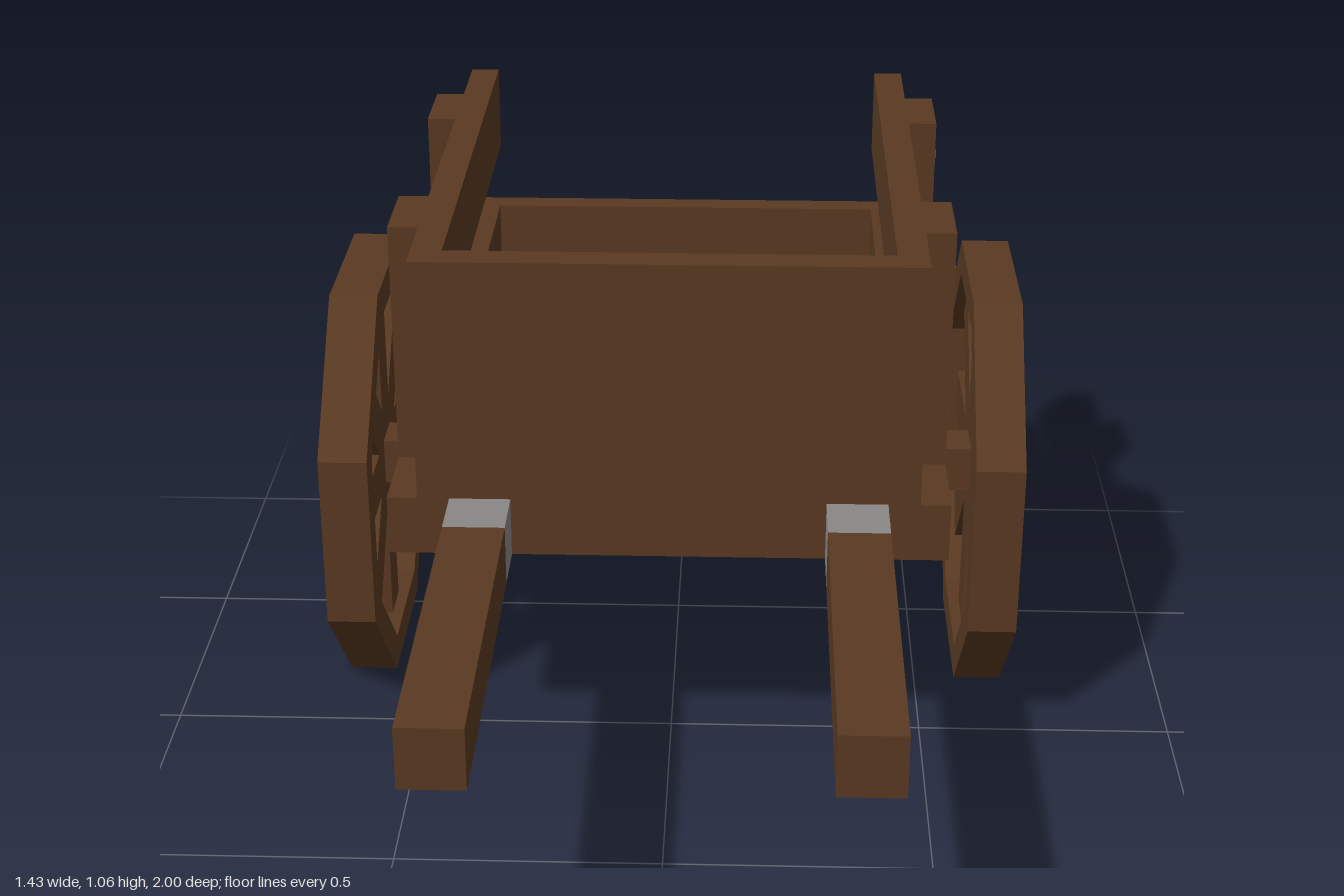
import * as THREE from 'three';

const wood = new THREE.MeshStandardMaterial({ color: 0x5a3a22 });
wood.name = 'wood';
const metal = new THREE.MeshStandardMaterial({ color: 0x8a8885 });
metal.name = 'metal';

// Box given by its min and max along each axis
function box(parent, name, [x0, x1], [y0, y1], [z0, z1], material = wood) {
  const mesh = new THREE.Mesh(new THREE.BoxGeometry(x1 - x0, y1 - y0, z1 - z0), material);
  mesh.position.set((x0 + x1) / 2, (y0 + y1) / 2, (z0 + z1) / 2);
  mesh.name = name;
  parent.add(mesh);
  return mesh;
}

// Octagon outline with flat sides on the axes
function octagon(PathType, apothem) {
  const r = apothem / Math.cos(Math.PI / 8);
  const points = [];
  for (let i = 0; i < 8; i++) {
    const a = Math.PI / 8 + (i * Math.PI) / 4;
    points.push(new THREE.Vector2(r * Math.cos(a), r * Math.sin(a)));
  }
  return new PathType(points);
}

function createWheel() {
  const wheel = new THREE.Group();
  wheel.name = 'wheel';
  const width = 0.095, apothem = 0.42, inner = 0.357;

  // Octagonal rim, turned so its axis runs along x
  const shape = octagon(THREE.Shape, apothem);
  shape.holes.push(octagon(THREE.Path, inner));
  const geometry = new THREE.ExtrudeGeometry(shape, { depth: width, bevelEnabled: false });
  geometry.translate(0, 0, -width / 2);
  geometry.rotateY(Math.PI / 2);
  const rim = new THREE.Mesh(geometry, wood);
  rim.name = 'rim';
  wheel.add(rim);

  // Four crossing bars make eight spokes
  for (let i = 0; i < 4; i++) {
    const spoke = new THREE.Mesh(new THREE.BoxGeometry(0.05, inner * 2, 0.095), wood);
    spoke.rotation.x = (i * Math.PI) / 4;
    spoke.name = 'spoke';
    wheel.add(spoke);
  }
  return wheel;
}

export function createModel() {
  const cart = new THREE.Group();
  cart.name = 'handcart';

  // Bed with end boards
  box(cart, 'floor', [-0.527, 0.527], [0.477, 0.592], [-1, 0.177]);
  box(cart, 'frontBoard', [-0.47, 0.47], [0.592, 1.063], [0.117, 0.177]);
  box(cart, 'backBoard', [-0.412, 0.412], [0.592, 0.767], [-1, -0.947]);

  // Axle
  box(cart, 'axle', [-0.717, 0.717], [0.376, 0.47], [-0.427, -0.333]);

  for (const side of [-1, 1]) {
    const span = (a, b) => (side > 0 ? [a, b] : [-b, -a]);

    // Side rails
    box(cart, 'lowerRail', span(0.412, 0.47), [0.592, 0.767], [-1, 0.117]);
    box(cart, 'upperRail', span(0.412, 0.47), [0.89, 1.063], [-1, 0.117]);

    // Posts, each with two bolt heads
    for (const z of [-0.086, -0.734]) {
      box(cart, 'post', span(0.47, 0.527), [0.592, 1.063], [z - 0.086, z + 0.086]);
      for (const y of [0.975, 0.682]) {
        const boltGeometry = new THREE.CylinderGeometry(0.031, 0.031, 0.008, 8);
        boltGeometry.rotateY(Math.PI / 8);
        boltGeometry.rotateZ(Math.PI / 2);
        const bolt = new THREE.Mesh(boltGeometry, metal);
        bolt.position.set(side * 0.528, y, z);
        bolt.name = 'bolt';
        cart.add(bolt);
      }
    }

    // Pull shafts with metal sleeves
    box(cart, 'sleeve', span(0.295, 0.41), [0.477, 0.592], [0.177, 0.295], metal);
    box(cart, 'shaft', span(0.295, 0.41), [0.477, 0.592], [0.295, 1]);

    // Wheels
    const wheel = createWheel();
    wheel.position.set(side * 0.631, 0.423, -0.38);
    wheel.name = side > 0 ? 'leftWheel' : 'rightWheel';
    cart.add(wheel);
  }
  return cart;
}
